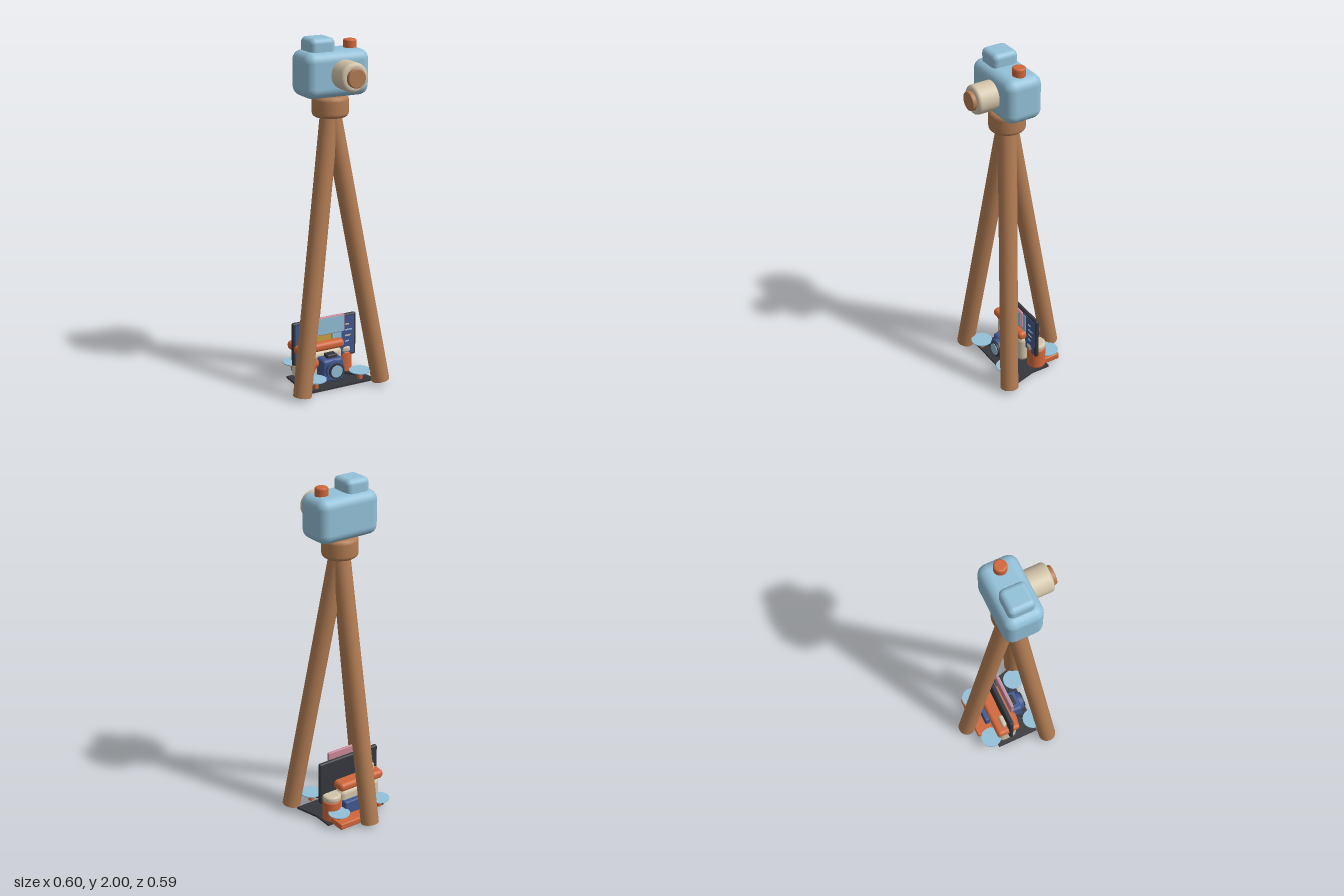
import * as THREE from 'three';
import { RoundedBoxGeometry } from 'three/addons/geometries/RoundedBoxGeometry.js';

const paint = (name, color) => Object.assign(new THREE.MeshStandardMaterial({ color }), { name });

export function createModel() {
  const blue = paint('light blue', 0x93c0d8);
  const orange = paint('orange', 0xd0673a);
  const wood = paint('wood brown', 0xb27c53);
  const cream = paint('cream', 0xd3c5ab);
  const dark = paint('charcoal', 0x36373d);
  const navy = paint('navy blue', 0x40578f);
  const yellow = paint('yellow', 0xcaa341);
  const pink = paint('pink', 0xc98797);
  blue.side = THREE.FrontSide;

  const model = new THREE.Group();
  model.name = 'cameraOnTripod';

  const add = (name, geometry, material, x = 0, y = 0, z = 0, parent = model) => {
    const mesh = new THREE.Mesh(geometry, material);
    mesh.name = name;
    mesh.position.set(x, y, z);
    parent.add(mesh);
    return mesh;
  };

  // Box given by its limits, with rounded edges when r > 0
  const box = (name, material, [x0, x1], [y0, y1], [z0, z1], r = 0, parent = model) => {
    const s = [x1 - x0, y1 - y0, z1 - z0];
    const g = r ? new RoundedBoxGeometry(...s, 4, r) : new THREE.BoxGeometry(...s);
    return add(name, g, material, (x0 + x1) / 2, (y0 + y1) / 2, (z0 + z1) / 2, parent);
  };

  // Upright cylinder with rounded rims, centred on its own middle
  const roundCylinder = (r, h, b) => {
    const pts = [new THREE.Vector2(0, -h / 2), new THREE.Vector2((r - b) * 0.97, -h / 2)];
    for (const [cy, a0] of [[-h / 2 + b, -Math.PI / 2], [h / 2 - b, 0]]) {
      for (let i = 0; i <= 4; i++) {
        const a = a0 + (i / 4) * Math.PI / 2;
        pts.push(new THREE.Vector2(r - b + b * Math.cos(a), cy + b * Math.sin(a)));
      }
    }
    pts.push(new THREE.Vector2((r - b) * 0.97, h / 2), new THREE.Vector2(0, h / 2));
    return new THREE.LatheGeometry(pts, 32);
  };

  // Straight rod between two points
  const rod = (name, material, a, b, r, sides = 12, parent = model) => {
    const p = new THREE.Vector3(...a), q = new THREE.Vector3(...b);
    const d = q.clone().sub(p);
    const mesh = add(name, new THREE.CylinderGeometry(r, r, d.length(), sides), material, 0, 0, 0, parent);
    mesh.position.copy(p).add(q).multiplyScalar(0.5);
    mesh.quaternion.setFromUnitVectors(new THREE.Vector3(0, 1, 0), d.normalize());
    return mesh;
  };

  // Tripod: three splayed legs and a collar
  const cz = 0.045;
  for (let i = 0; i < 3; i++) {
    const a = Math.PI / 6 + (i * Math.PI * 2) / 3;
    rod('tripodLeg', wood, [0, 1.62, cz],
      [0.29 * Math.cos(a), 0.02, cz + 0.29 * Math.sin(a)], 0.052, 20);
  }
  add('tripodCollar', roundCylinder(0.101, 0.117, 0.024), wood, 0, 1.622, cz);

  // Camera
  box('cameraBody', blue, [-0.192, 0.192], [1.68, 1.93], [-0.065, 0.155], 0.055);
  box('viewfinder', blue, [-0.148, -0.002], [1.88, 2.0], [-0.03, 0.118], 0.03);
  add('shutterButton', roundCylinder(0.036, 0.065, 0.01), orange, 0.118, 1.943, cz);
  add('lensBarrel', roundCylinder(0.08, 0.135, 0.018), cream, 0.028, 1.807, 0.206).rotation.x = Math.PI / 2;
  add('lensFront', roundCylinder(0.052, 0.05, 0.005), wood, 0.028, 1.807, 0.271).rotation.x = Math.PI / 2;

  // Base plate with one flared side
  const plate = new THREE.Shape();
  [[-0.2, -0.145], [0.24, -0.145], [0.2, 0], [0.2, 0.115], [-0.2, 0.115]]
    .forEach(([x, y], i) => (i ? plate.lineTo(x, y) : plate.moveTo(x, y)));
  add('basePlate', new THREE.ExtrudeGeometry(plate, { depth: 0.012, bevelEnabled: false }), dark)
    .rotation.x = -Math.PI / 2;

  // Monitor with painted panels
  box('monitor', dark, [-0.205, 0.205], [0.11, 0.37], [-0.044, -0.018], 0.012);
  const panel = (name, mat, xs, ys, z = -0.015) => box(name, mat, xs, ys, [z - 0.004, z]);
  panel('screen', navy, [-0.19, 0.19], [0.125, 0.357]);
  panel('screenPicture', yellow, [-0.157, 0.04], [0.22, 0.35], -0.012);
  panel('screenWindow', blue, [0.045, 0.105], [0.22, 0.35], -0.012);
  for (let i = 0; i < 4; i++) {
    panel('screenLine', i % 2 ? cream : blue, [0.13, 0.155 + 0.01 * (i % 3)], [0.2 + i * 0.035, 0.208 + i * 0.035], -0.012);
  }

  // Floating card in front of the monitor
  box('cardBack', pink, [-0.109, 0.109], [0.283, 0.392], [0.005, 0.022], 0.006);
  box('cardFace', blue, [-0.102, 0.102], [0.29, 0.385], [0.02, 0.026]);

  // Bag with rounded lid and handle
  box('bagBody', cream, [-0.182, 0.1], [0.012, 0.19], [-0.105, 0.02], 0.035);
  box('bagLid', orange, [-0.198, 0.108], [0.185, 0.237], [-0.117, 0.03], 0.022);
  box('bagHandle', cream, [-0.163, -0.092], [0.23, 0.278], [-0.072, -0.045], 0.01);
  add('bagArch', new THREE.TorusGeometry(0.075, 0.022, 10, 24, Math.PI), orange, -0.045, 0.06, 0.03);

  // Canister with cream cap
  add('canister', roundCylinder(0.054, 0.125, 0.008), orange, 0.14, 0.072, -0.064);
  add('canisterCap', roundCylinder(0.055, 0.04, 0.014), cream, 0.14, 0.152, -0.064);

  // Books behind the bag
  box('lowerBook', orange, [-0.087, 0.174], [0.006, 0.045], [-0.206, -0.08], 0.008);
  box('upperBook', navy, [-0.045, 0.09], [0.045, 0.125], [-0.135, -0.09], 0.008);

  // Small camera at the front
  box('smallCamera', navy, [-0.075, 0.058], [0.025, 0.162], [0.015, 0.105], 0.018);
  box('smallCameraTop', dark, [-0.035, 0.03], [0.155, 0.182], [0.03, 0.08], 0.008);
  for (const [name, mat, r, z] of [['smallLensBarrel', navy, 0.056, 0.108],
    ['smallLensRing', dark, 0.046, 0.118], ['smallLensGlass', blue, 0.036, 0.122]]) {
    add(name, new THREE.CylinderGeometry(r, r, 0.036, 28), mat, -0.004, 0.1, z).rotation.x = Math.PI / 2;
  }

  // Drone: crossed arms, motors and four rotor discs
  const drone = new THREE.Group();
  drone.name = 'drone';
  model.add(drone);
  box('droneHub', dark, [-0.06, 0.06], [0.04, 0.075], [-0.05, 0.05], 0.012, drone);
  for (const sx of [-1, 1]) {
    for (const sz of [-1, 1]) {
      const x = sx * 0.142, z = sz * 0.142;
      rod('droneArm', dark, [0, 0.055, 0], [x, 0.055, z], 0.009, 8, drone);
      rod('droneMotor', orange, [x, 0.03, z], [x, 0.078, z], 0.016, 14, drone);
      add('rotorDisc', new THREE.CylinderGeometry(0.062, 0.062, 0.005, 32), blue, x, 0.081, z, drone);
    }
  }

  return model;
}
